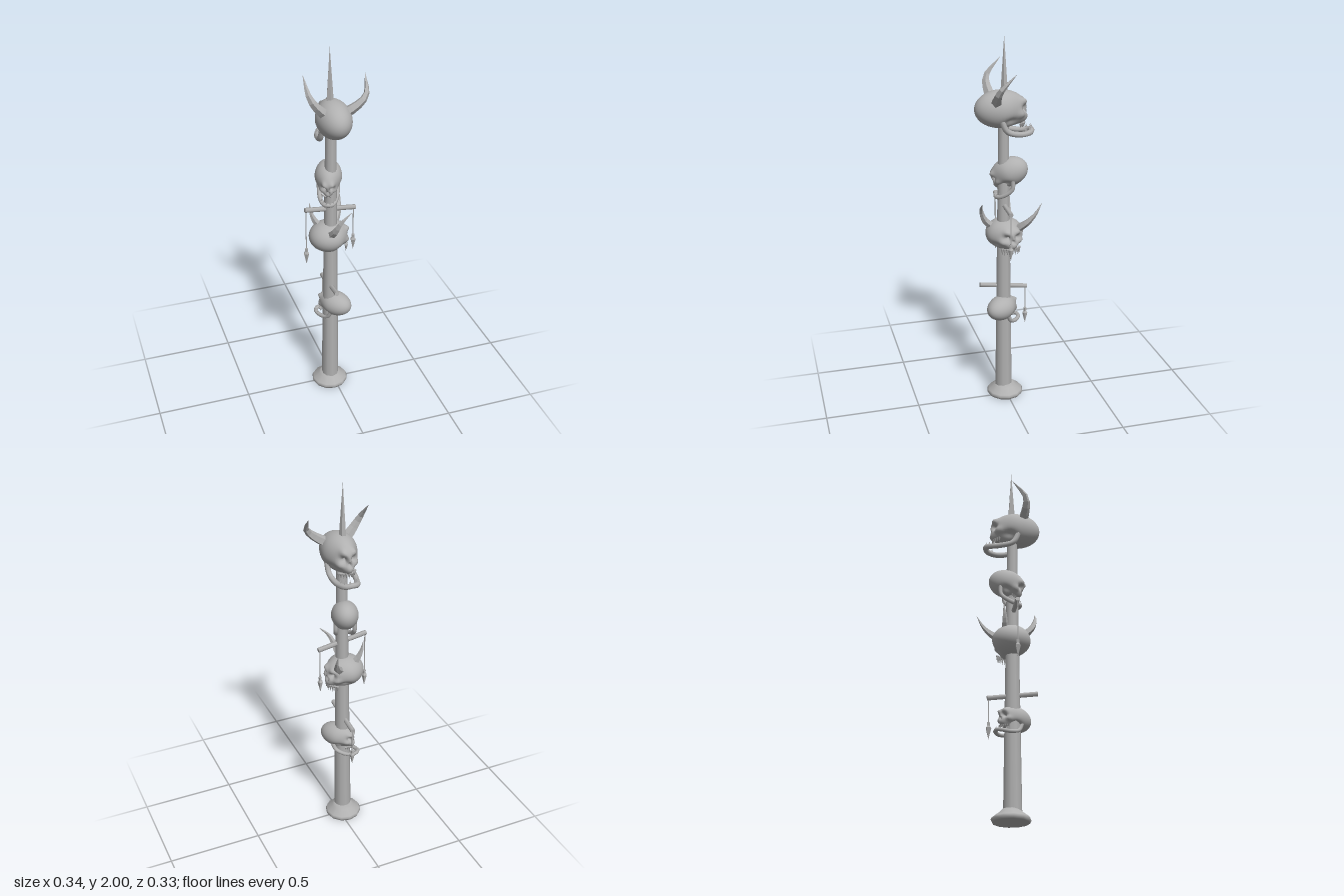
import * as THREE from 'three';
import { mergeVertices } from 'three/addons/utils/BufferGeometryUtils.js';

const V = (x, y, z) => new THREE.Vector3(x, y, z);
const stone = new THREE.MeshStandardMaterial({ color: 0xb0b0b0 });
stone.name = 'grey stone';

function add(parent, name, geometry, x = 0, y = 0, z = 0) {
  const mesh = new THREE.Mesh(geometry, stone);
  mesh.name = name;
  mesh.position.set(x, y, z);
  parent.add(mesh);
  return mesh;
}

function faceted(geometry) {
  const g = geometry.toNonIndexed();
  g.computeVertexNormals();
  return g;
}

// Five-sided horn that tapers to a point along a curve
function hornGeometry(points, radius) {
  const curve = new THREE.CatmullRomCurve3(points.map((p) => V(...p)));
  const steps = 7, sides = 5;
  const g = new THREE.TubeGeometry(curve, steps, 1, sides);
  const pos = g.attributes.position, v = V(0, 0, 0);
  for (let i = 0; i <= steps; i++) {
    const c = curve.getPointAt(i / steps);
    const r = radius * (1 - 0.98 * Math.pow(i / steps, 1.3));
    for (let j = 0; j <= sides; j++) {
      const k = i * (sides + 1) + j;
      v.fromBufferAttribute(pos, k).sub(c).multiplyScalar(r).add(c);
      pos.setXYZ(k, v.x, v.y, v.z);
    }
  }
  return faceted(g);
}

// Round stick between two points
function stick(parent, name, a, b, radius, sides) {
  const mesh = add(parent, name, new THREE.CylinderGeometry(radius, radius, a.distanceTo(b), sides));
  mesh.position.copy(a).lerp(b, 0.5);
  mesh.quaternion.setFromUnitVectors(V(0, 1, 0), b.clone().sub(a).normalize());
}

// Bumps and hollows of a face: direction, amount, spread
const FEATURES = [
  [[0.36, 0.36, 0.86], 0.016, 0.2], [[-0.36, 0.36, 0.86], 0.016, 0.2],
  [[0.38, 0.02, 0.92], -0.045, 0.18], [[-0.38, 0.02, 0.92], -0.045, 0.18],
  [[0, -0.22, 0.97], -0.03, 0.1],
  [[0.62, -0.25, 0.74], 0.012, 0.2], [[-0.62, -0.25, 0.74], 0.012, 0.2],
  [[0, -0.52, 0.85], 0.022, 0.35],
  [[0.75, -0.6, 0.3], -0.014, 0.25], [[-0.75, -0.6, 0.3], -0.014, 0.25],
].map(([d, amount, spread]) => ({ d: V(...d).normalize(), amount, spread }));

// Egg-shaped head facing +z with brow, sockets, cheeks and muzzle
function headGeometry() {
  let g = new THREE.SphereGeometry(1, 48, 36);
  g.deleteAttribute('uv');
  g.deleteAttribute('normal');
  g = mergeVertices(g, 1e-4);
  const pos = g.attributes.position, d = V(0, 0, 0);
  for (let i = 0; i < pos.count; i++) {
    d.fromBufferAttribute(pos, i);
    const front = THREE.MathUtils.smoothstep(d.z, 0, 0.95);
    const p = V(d.x * 0.09 * (1 - 0.22 * front), d.y * 0.097, d.z * 0.135);
    for (const f of FEATURES) {
      p.addScaledVector(d, f.amount * Math.exp(-d.distanceToSquared(f.d) / (f.spread * f.spread)));
    }
    pos.setXYZ(i, p.x, p.y, p.z);
  }
  g.computeVertexNormals();
  return g;
}

function makeSkull(name, { at, yaw, pitch = 0, scale, jaw = true, tooth = 0.026 }) {
  const skull = new THREE.Group();
  skull.name = name;
  skull.position.set(...at);
  skull.rotation.set(pitch, yaw, 0, 'YXZ');
  skull.scale.set(...scale);
  add(skull, 'head', headGeometry());

  // Upper teeth around the muzzle
  for (let i = -4; i <= 4; i++) {
    const a = i * 0.27;
    const t = add(skull, 'upperTooth', new THREE.ConeGeometry(0.008, tooth, 5),
      0.05 * Math.sin(a), -0.076 - tooth * 0.3, 0.068 + 0.053 * Math.cos(a));
    t.rotation.x = Math.PI;
  }
  if (!jaw) return skull;

  // Horseshoe jaw with a few lower teeth
  const path = [[-0.062, -0.05, -0.01], [-0.062, -0.105, 0.02], [-0.054, -0.127, 0.09], [-0.03, -0.125, 0.148],
    [0, -0.118, 0.162], [0.03, -0.125, 0.148], [0.054, -0.127, 0.09], [0.062, -0.105, 0.02], [0.062, -0.05, -0.01]];
  const curve = new THREE.CatmullRomCurve3(path.map((p) => V(...p)));
  add(skull, 'jaw', new THREE.TubeGeometry(curve, 36, 0.015, 8));
  for (let i = 0; i < 6; i++) {
    const p = curve.getPointAt(0.36 + i * 0.056);
    add(skull, 'lowerTooth', new THREE.ConeGeometry(0.007, 0.024, 5), p.x, p.y + 0.02, p.z);
  }
  return skull;
}

// Cord with a pointed weight at its lower end
function pendant(parent, x, z, top, weightTop, tip) {
  stick(parent, 'cord', V(x, top, z), V(x, weightTop, z), 0.003, 5);
  const h = weightTop - tip;
  const profile = [[0, 0], [0.015, h * 0.68], [0.008, h * 0.8], [0.009, h], [0, h]];
  add(parent, 'weight', faceted(new THREE.LatheGeometry(profile.map((p) => new THREE.Vector2(...p)), 5)), x, tip, z);
}

export function createModel() {
  const model = new THREE.Group();
  model.name = 'skullTotem';

  // Flared foot and tapering pole
  const foot = [[0, 0], [0.093, 0], [0.1, 0.014], [0.094, 0.025], [0.06, 0.05], [0.046, 0.065], [0, 0.065]];
  add(model, 'foot', new THREE.LatheGeometry(foot.map((p) => new THREE.Vector2(...p)), 12), -0.023, 0, 0.005);
  const pole = add(model, 'pole', new THREE.CylinderGeometry(0.027, 0.047, 1.56, 10), -0.02, 0.82, 0.013);
  pole.rotation.z = -0.004;

  // Skulls from top to bottom
  model.add(makeSkull('topSkull', { at: [-0.01, 1.633, 0.03], yaw: Math.PI, scale: [1, 1, 1] }));
  model.add(makeSkull('upperSkull', { at: [-0.02, 1.295, -0.018], yaw: -0.33, pitch: 0.42, scale: [0.78, 0.78, 0.74] }));
  model.add(makeSkull('hornedSkull', {
    at: [-0.025, 0.957, 0.005], yaw: Math.PI / 2 + 0.2, scale: [1.12, 0.85, 0.8], jaw: false, tooth: 0.045,
  }));
  model.add(makeSkull('lowerSkull', { at: [0, 0.535, 0.025], yaw: Math.PI + 0.64, scale: [0.76, 0.68, 0.74] }));

  // Crown spike and horns
  add(model, 'crownSpike', faceted(new THREE.ConeGeometry(0.02, 0.29, 5)), -0.02, 1.855, 0.008);
  const horns = [
    ['topLeftHorn', [[0.045, 1.675, 0.065], [0.1, 1.71, 0.075], [0.145, 1.755, 0.07], [0.165, 1.84, -0.005]], 0.028],
    ['topRightHorn', [[-0.06, 1.675, 0.065], [-0.11, 1.725, 0.075], [-0.142, 1.775, 0.07], [-0.152, 1.865, -0.005]], 0.028],
    ['sideHornFront', [[-0.035, 0.995, 0.07], [-0.025, 1.04, 0.115], [0, 1.1, 0.138], [0.055, 1.155, 0.143]], 0.022],
    ['sideHornBack', [[0.025, 0.995, -0.055], [0.055, 1.03, -0.09], [0.075, 1.08, -0.13], [0.083, 1.145, -0.165]], 0.022],
    ['rearHorn', [[-0.065, 1, -0.03], [-0.092, 1.04, -0.036], [-0.108, 1.08, -0.04], [-0.115, 1.14, -0.046]], 0.02],
  ];
  for (const [name, points, radius] of horns) add(model, name, hornGeometry(points, radius));

  // Crossbars with hanging weights
  stick(model, 'upperCrossbar', V(-0.16, 1.14, 0.022), V(0.118, 1.105, 0.008), 0.013, 6);
  pendant(model, -0.155, 0.022, 1.135, 0.91, 0.815);
  pendant(model, 0.108, 0.008, 1.105, 0.94, 0.848);
  stick(model, 'lowerCrossbar', V(-0.025, 0.672, 0.142), V(-0.025, 0.635, -0.117), 0.013, 6);
  pendant(model, -0.025, -0.109, 0.635, 0.505, 0.415);

  return model;
}
